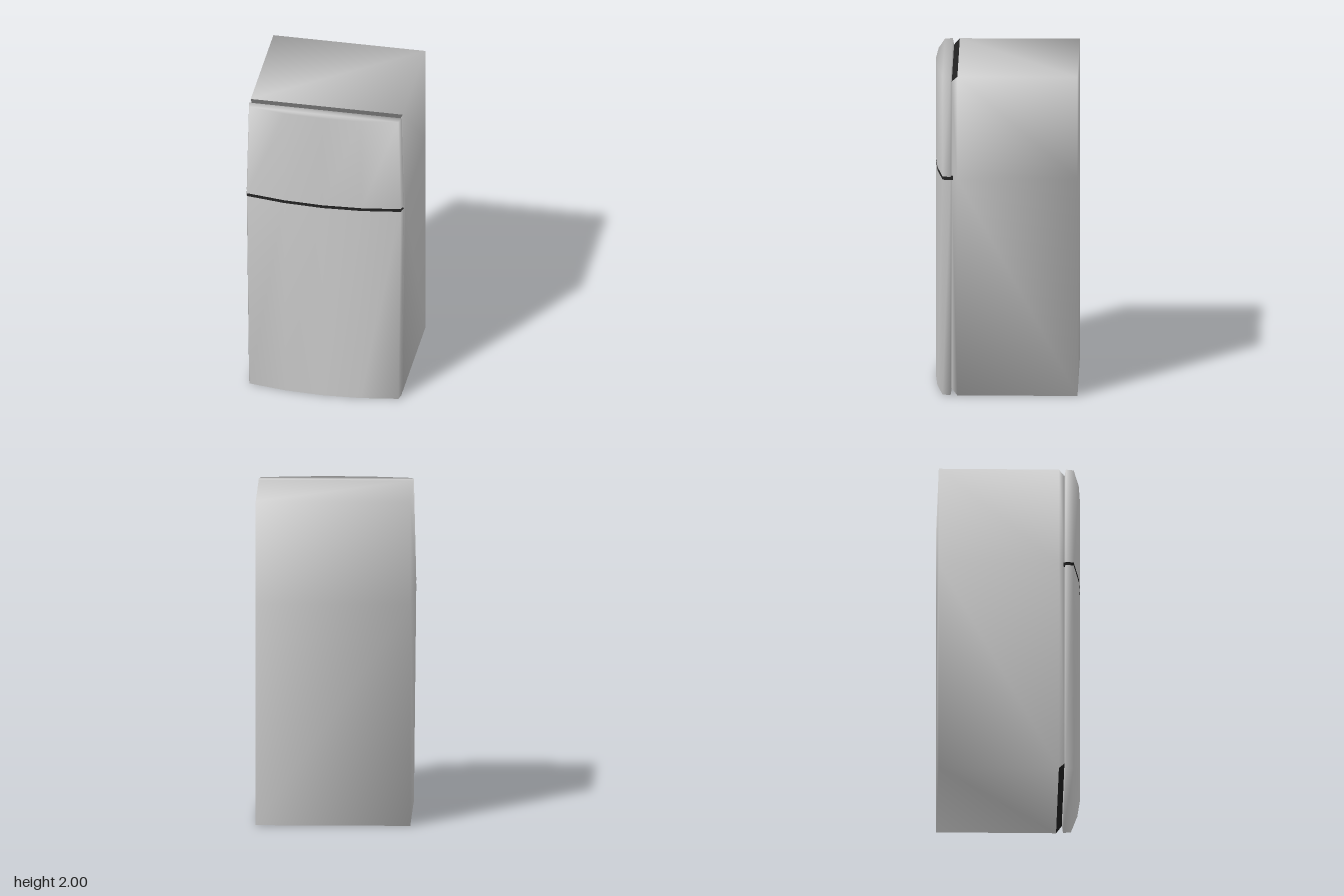
import * as THREE from 'three';

const SEAM = 1.365; // height of the split between the doors

const shell = new THREE.MeshStandardMaterial({ color: 0xcccccc });
shell.name = 'greyShell';
const gasket = new THREE.MeshStandardMaterial({ color: 0x202020 });
gasket.name = 'blackGasket';

// Smooth-shaded mesh from shared points and four-cornered faces
function quadMesh(name, points, quads, material) {
  const geometry = new THREE.BufferGeometry();
  geometry.setAttribute('position', new THREE.Float32BufferAttribute(points.flat(), 3));
  geometry.setIndex(quads.flatMap(([a, b, c, d]) => [a, b, c, a, c, d]));
  geometry.computeVertexNormals();
  const mesh = new THREE.Mesh(geometry, material);
  mesh.name = name;
  return mesh;
}

// Cabinet: six-point rings from back to front, widest at the seam height
function addCabinet(group) {
  const rings = [
    { z: -0.435, w: 0.47, m: 0.47, y0: 0, y1: 2 },
    { z: 0.295, w: 0.47, m: 0.487, y0: 0, y1: 2 },
    { z: 0.33, w: 0.45, m: 0.457, y0: 0.04, y1: 1.965 },
  ];
  const points = rings.flatMap(({ z, w, m, y0, y1 }) => [
    [-w, y0, z], [w, y0, z], [m, SEAM, z], [w, y1, z], [-w, y1, z], [-m, SEAM, z],
  ]);
  const body = [[1, 0, 5, 2], [2, 5, 4, 3], [12, 13, 14, 17], [17, 14, 15, 16]];
  const strips = [];
  for (let k = 0; k < 2; k++) {
    for (let i = 0; i < 6; i++) {
      const j = (i + 1) % 6;
      const quad = [k * 6 + i, k * 6 + j, k * 6 + 6 + j, k * 6 + 6 + i];
      // The slopes above and below the door gap are black
      (k === 1 && (i === 0 || i === 3) ? strips : body).push(quad);
    }
  }
  group.add(quadMesh('cabinet', points, body, shell));
  group.add(quadMesh('doorGap', points, strips, gasket));
}

// Half of the door plan, from the back corner round to the middle of the front
const halfPlan = [[0.455, 0.329], [0.487, 0.337], [0.475, 0.385], [0.24, 0.42]];
const doorPlan = [
  ...halfPlan.map(([x, z]) => [-x, z]),
  [0, 0.432],
  ...halfPlan.slice().reverse(),
];

// Door: the bowed plan lofted between two heights, black where it meets the seam
function addDoor(group, name, y0, y1, upper) {
  const n = doorPlan.length;
  const level = (y, outer, inset) => doorPlan.map(([x, z], i) => [
    x * (outer ? 0.97 : 1),
    y + (outer && (i === 0 || i === n - 1) ? inset : 0),
    z,
  ]);
  const points = [...level(y0, !upper, 0.035), ...level(y1, upper, -0.035)];
  const sides = [], top = [], bottom = [];
  for (let i = 0; i < n; i++) {
    const j = (i + 1) % n;
    sides.push([i, j, n + j, n + i]);
  }
  for (let i = 0; i < (n - 1) / 2; i++) {
    const [a, b, c, d] = [i, i + 1, n - 2 - i, n - 1 - i];
    top.push([n + a, n + b, n + c, n + d]);
    bottom.push([d, c, b, a]);
  }
  group.add(quadMesh(name, points, [...sides, ...(upper ? top : bottom)], shell));
  group.add(quadMesh(name + 'SeamEdge', points, upper ? bottom : top, gasket));
}

// Seam: recessed black core filling the gap between the doors
function addSeam(group) {
  const outline = doorPlan.map(([x, z], i) =>
    new THREE.Vector2(x * 0.975, -(i === 0 || i === doorPlan.length - 1 ? z : z - 0.015)));
  const geometry = new THREE.ExtrudeGeometry(new THREE.Shape(outline), { depth: 0.024, bevelEnabled: false });
  geometry.rotateX(-Math.PI / 2);
  const seam = new THREE.Mesh(geometry, gasket);
  seam.name = 'doorSeam';
  seam.position.y = SEAM - 0.012;
  group.add(seam);
}

export function createModel() {
  const group = new THREE.Group();
  group.name = 'refrigerator';
  addCabinet(group);
  addDoor(group, 'lowerDoor', 0.003, SEAM - 0.01, false);
  addDoor(group, 'upperDoor', SEAM + 0.01, 2, true);
  addSeam(group);
  return group;
}
